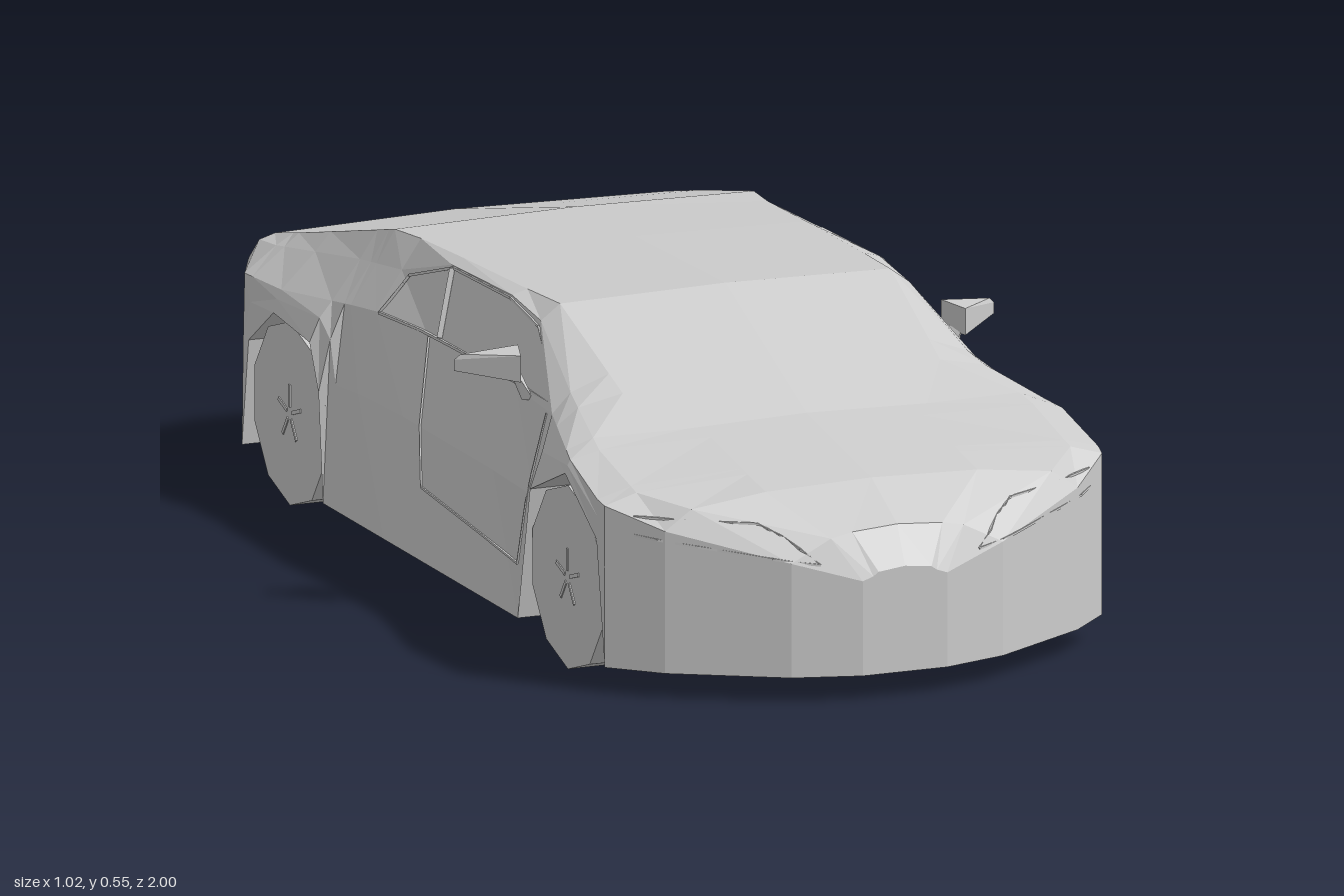
import * as THREE from 'three';
import { ConvexGeometry } from 'three/addons/geometries/ConvexGeometry.js';

const material = new THREE.MeshStandardMaterial({ color: 0xcccccc, flatShading: true });

// Piecewise-linear feature line: flat list of z, value pairs from nose to tail
const line = (k) => (z) => {
  if (z >= k[0]) return k[1];
  for (let i = 2; i < k.length; i += 2) {
    if (z >= k[i]) return THREE.MathUtils.mapLinear(z, k[i - 2], k[i], k[i - 1], k[i + 1]);
  }
  return k[k.length - 1];
};

// Feature lines of the bodywork
const halfWidth = line([1, 0.08, 0.965, 0.2, 0.85, 0.39, 0.77, 0.47, 0.745, 0.475, -0.83, 0.475, -0.93, 0.425, -1, 0.2]);
const frontArch = line([0.77, 0.045, 0.745, 0.27, 0.605, 0.355, 0.45, 0.29, 0.395, 0.045]);
const rearArch = line([-0.47, 0.045, -0.49, 0.24, -0.53, 0.32, -0.69, 0.335, -0.8, 0.26, -0.83, 0.065]);
const crownY = line([1, 0.235, 0.965, 0.302, 0.85, 0.358, 0.56, 0.405, 0.2, 0.553, -0.2, 0.541, -0.47, 0.53, -0.93, 0.417, -1, 0.4]);
const roofX = line([1, 0.05, 0.85, 0.2, 0.605, 0.2, 0.45, 0.3, 0.07, 0.318, -0.38, 0.328, -0.8, 0.38, -0.93, 0.37, -1, 0.15]);
const railX = line([1, 0.06, 0.85, 0.34, 0.77, 0.41, 0.605, 0.41, 0.395, 0.375, 0.2, 0.348, -0.2, 0.346, -0.83, 0.41, -0.93, 0.4, -1, 0.18]);
const railY = line([1, 0.222, 0.965, 0.288, 0.85, 0.335, 0.605, 0.39, 0.395, 0.44, 0.2, 0.52, 0.07, 0.535, -0.2, 0.525, -0.38, 0.475, -0.53, 0.46, -1, 0.392]);
const tuck = line([0.77, 0, 0.605, 0.01, 0.395, 0.065, 0.2, 0.08, -0.2, 0.082, -0.47, 0.053, -0.69, 0.015, -0.83, 0.005]);
const shoulderY = line([1, 0.215, 0.965, 0.25, 0.77, 0.335, 0.605, 0.378, 0.395, 0.405, -0.38, 0.405, -0.69, 0.375, -1, 0.37]);

// Half cross-section at z, from the floor centre out and up to the crown
function section(z) {
  const w = halfWidth(z), s = tuck(z), top = shoulderY(z);
  const arch = z > 0 ? frontArch(z) : rearArch(z);
  const floor = Math.min(arch, z < -0.82 ? 0.065 : 0.045);
  const inner = Math.min(0.33, w);
  return [
    [0, floor], [inner, floor], [inner, arch], [w, arch],
    [w - s * 0.45, THREE.MathUtils.lerp(arch, top, 0.6)], [w - s, top],
    [railX(z), railY(z)], [roofX(z), crownY(z) - 0.006], [0, crownY(z)],
  ].map(([x, y]) => new THREE.Vector3(x, y, z));
}

const LOOPS = [1, 0.965, 0.85, 0.77, 0.745, 0.605, 0.56, 0.45, 0.395, 0.2, 0.07,
  -0.2, -0.38, -0.47, -0.49, -0.53, -0.69, -0.8, -0.83, -0.93, -1].map(section);

// Skin the sections, mirrored to both sides and capped at the ends
function bodyGeometry() {
  const out = [];
  for (const side of [1, -1]) {
    const tri = (a, b, c) => {
      for (const p of side > 0 ? [a, b, c] : [a, c, b]) out.push(p.x * side, p.y, p.z);
    };
    for (let i = 0; i < LOOPS.length - 1; i++) {
      const A = LOOPS[i], B = LOOPS[i + 1];
      for (let j = 0; j < A.length - 1; j++) {
        tri(A[j], B[j], B[j + 1]);
        tri(A[j], B[j + 1], A[j + 1]);
      }
    }
    const nose = LOOPS[0], tail = LOOPS[LOOPS.length - 1];
    for (let j = 1; j < nose.length - 1; j++) {
      tri(nose[0], nose[j], nose[j + 1]);
      tri(tail[0], tail[j + 1], tail[j]);
    }
  }
  const g = new THREE.BufferGeometry();
  g.setAttribute('position', new THREE.Float32BufferAttribute(out, 3));
  g.computeVertexNormals();
  return g;
}

// Point on the +x flank at a given z and height
function onSide(z, y) {
  const loop = section(z);
  for (let j = 3; j < 8; j++) {
    const a = loop[j], b = loop[j + 1];
    if (y >= a.y && y <= b.y) return a.clone().lerp(b, (y - a.y) / (b.y - a.y || 1));
  }
  return new THREE.Vector3(0, y, z);
}

// Point on the nose at a given x and height
function onNose(x, y) {
  let z = 1;
  while (z > 0.6 && onSide(z, y).x < x) z -= 0.004;
  return new THREE.Vector3(x, y, z);
}

// Thin seam lying on the bodywork, through surface coordinates
function addSeam(parent, name, coords, project, width) {
  const group = new THREE.Group();
  group.name = name;
  const points = [];
  for (let i = 0; i < coords.length - 1; i++) {
    for (let k = 0; k < 5; k++) {
      const f = (n) => THREE.MathUtils.lerp(coords[i][n], coords[i + 1][n], k / 5);
      points.push(project(f(0), f(1)));
    }
  }
  points.push(project(...coords[coords.length - 1]));
  for (let i = 0; i < points.length - 1; i++) {
    const a = points[i], b = points[i + 1];
    const strip = new THREE.Mesh(new THREE.BoxGeometry(width, width, a.distanceTo(b)), material);
    strip.position.copy(a).lerp(b, 0.5);
    strip.lookAt(b);
    group.add(strip);
  }
  parent.add(group);
}

function createWheel(name, side, z) {
  const wheel = new THREE.Group();
  wheel.name = name;
  const tyre = new THREE.CylinderGeometry(0.165, 0.165, 0.13, 10, 1, false, Math.PI / 2);
  tyre.rotateZ(Math.PI / 2);
  wheel.add(new THREE.Mesh(tyre, material));
  // Five slim spokes around the hub
  for (let i = 0; i < 5; i++) {
    const spoke = new THREE.BoxGeometry(0.004, 0.04, 0.007);
    spoke.translate(side * 0.065, 0.032, 0);
    spoke.rotateX((i * Math.PI * 2) / 5);
    wheel.add(new THREE.Mesh(spoke, material));
  }
  wheel.position.set(side * 0.4, 0.165, z);
  return wheel;
}

function createMirror(side) {
  const mirror = new THREE.Group();
  mirror.name = side > 0 ? 'leftMirror' : 'rightMirror';
  const hull = (pts) => mirror.add(new THREE.Mesh(
    new ConvexGeometry(pts.map(([x, y, z]) => new THREE.Vector3(x * side, y, z))), material));
  // Tapered housing
  hull([[0.4, 0.438, 0.22], [0.4, 0.487, 0.22], [0.42, 0.435, 0.28], [0.42, 0.483, 0.28],
    [0.51, 0.445, 0.195], [0.51, 0.465, 0.195], [0.5, 0.475, 0.2]]);
  // Stalk
  hull([[0.395, 0.4, 0.25], [0.395, 0.4, 0.28], [0.412, 0.4, 0.265],
    [0.403, 0.445, 0.235], [0.42, 0.445, 0.265], [0.425, 0.445, 0.245]]);
  return mirror;
}

export function createModel() {
  const car = new THREE.Group();
  car.name = 'car';

  const body = new THREE.Mesh(bodyGeometry(), material);
  body.name = 'body';
  car.add(body);

  for (const side of [1, -1]) {
    const label = side > 0 ? 'left' : 'right';
    car.add(createWheel(label + 'FrontWheel', side, 0.595));
    car.add(createWheel(label + 'RearWheel', side, -0.64));
    car.add(createMirror(side));

    const mirrored = (project) => (a, b) => {
      const p = project(a, b);
      p.x *= side;
      return p;
    };
    const flank = mirrored(onSide), nose = mirrored(onNose);
    // Window outline, pillar, door gap and lamp outline
    addSeam(car, label + 'WindowFrame',
      [[0.36, 0.42], [0.2, 0.51], [0.07, 0.53], [-0.19, 0.522], [-0.34, 0.475], [-0.37, 0.405], [0.36, 0.415]], flank, 0.005);
    addSeam(car, label + 'Pillar', [[-0.19, 0.52], [-0.145, 0.41]], flank, 0.01);
    addSeam(car, label + 'DoorGap', [[0.37, 0.4], [0.365, 0.135], [-0.08, 0.165], [-0.19, 0.405]], flank, 0.004);
    addSeam(car, label + 'Headlight',
      [[0.43, 0.32], [0.24, 0.312], [0.2, 0.29], [0.15, 0.245], [0.28, 0.265], [0.43, 0.288]], nose, 0.004);
  }
  return car;
}
